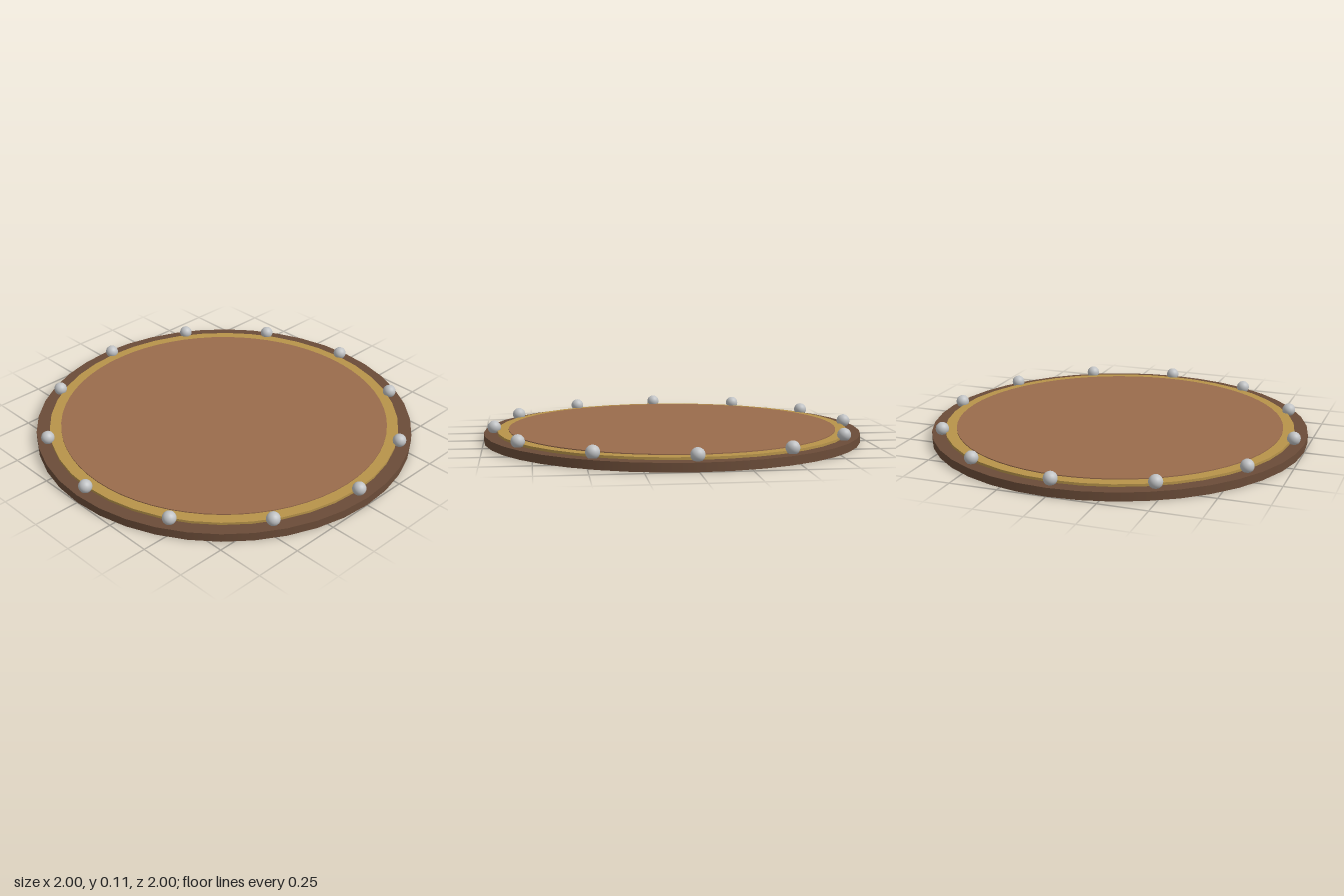
import * as THREE from 'three';

const mat = (name, color) => {
  const m = new THREE.MeshStandardMaterial({ color });
  m.name = name;
  return m;
};

export function createModel() {
  const group = new THREE.Group();
  const darkWood = mat('darkWood', 0x6b4c38);
  const wood = mat('wood', 0x9a6c4c);
  const brass = mat('brass', 0xb8944a);
  const steel = mat('steel', 0xc0c2c4);

  const add = (name, geometry, material, y) => {
    const mesh = new THREE.Mesh(geometry, material);
    mesh.name = name;
    mesh.position.y = y;
    group.add(mesh);
    return mesh;
  };

  // Round backing board
  add('baseDisc', new THREE.CylinderGeometry(1, 1, 0.044, 40), darkWood, 0.022);

  // Flat metal band lying on the board
  const r = 0.93, inner = 0.86, low = 0.04, top = 0.057;
  const band = [[inner, top], [inner, low], [r, low], [r, top], [inner, top]];
  // Each side of the band is its own strip, so the edges stay sharp
  const bandGroup = new THREE.Group();
  bandGroup.name = 'rimBand';
  for (let i = 0; i < 4; i++) {
    const pts = [band[i], band[i + 1]].map(p => new THREE.Vector2(...p));
    const strip = new THREE.Mesh(new THREE.LatheGeometry(pts, 40), brass);
    strip.name = 'rimBandSide';
    bandGroup.add(strip);
  }
  group.add(bandGroup);

  // Central face, just proud of the band
  add('facePanel', new THREE.CylinderGeometry(0.87, 0.87, 0.03, 64), wood, 0.047);

  // Twelve round studs around the rim
  const studGeometry = new THREE.SphereGeometry(0.035, 20, 14);
  for (let i = 0; i < 12; i++) {
    const a = (i / 12) * Math.PI * 2;
    const stud = add('stud', studGeometry, steel, 0.071);
    stud.position.x = Math.sin(a) * 0.945;
    stud.position.z = Math.cos(a) * 0.945;
  }
  return group;
}
